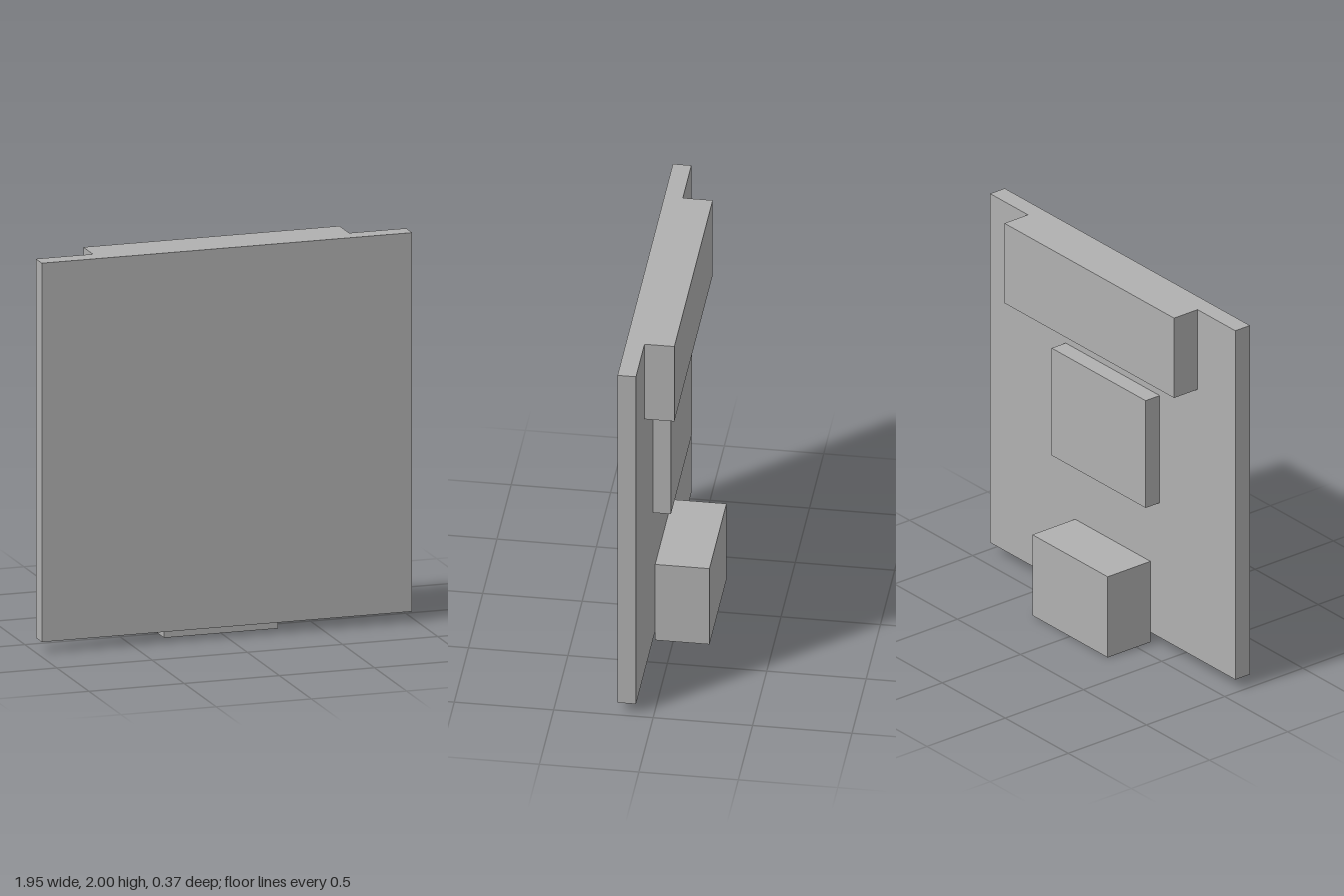
import * as THREE from 'three';

export function createModel() {
  const group = new THREE.Group();
  const grey = new THREE.MeshStandardMaterial({ color: 0xb0b0b0 });
  grey.name = 'grey';

  // Box centred on x, given by its width and its y and z limits
  const addBlock = (name, width, y0, y1, z0, z1) => {
    const mesh = new THREE.Mesh(new THREE.BoxGeometry(width, y1 - y0, z1 - z0), grey);
    mesh.position.set(0, (y0 + y1) / 2, (z0 + z1) / 2);
    mesh.name = name;
    group.add(mesh);
  };

  const plateBack = 0.09;
  addBlock('frontPanel', 1.945, 0.055, 2, plateBack, 0.183);
  // Blocks standing off the back of the panel
  addBlock('upperBlock', 1.346, 1.555, 2, -0.06, plateBack);
  addBlock('middleBlock', 0.746, 0.805, 1.403, 0, plateBack);
  addBlock('lowerBlock', 0.598, 0, 0.45, -0.183, plateBack);

  return group;
}
